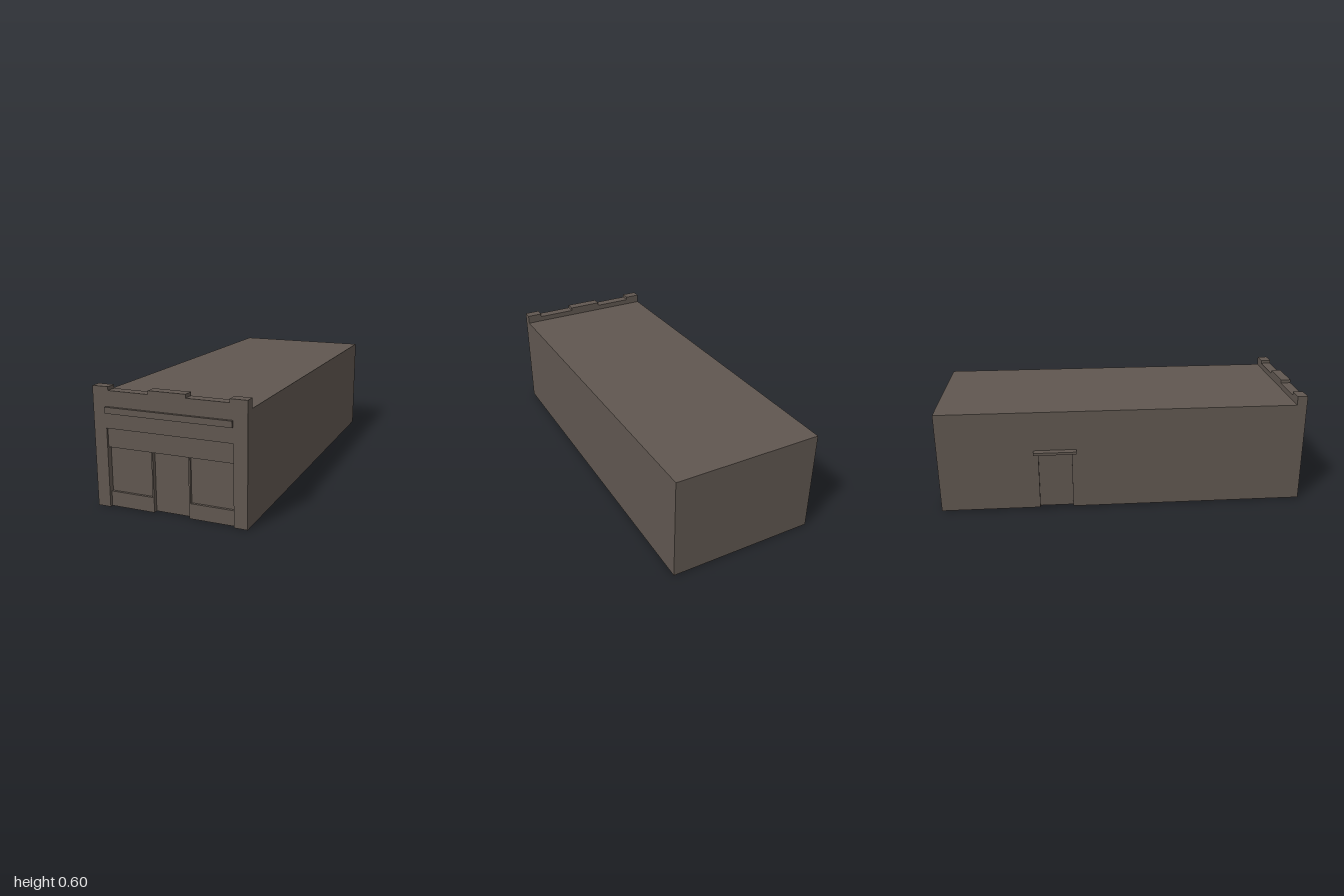
import * as THREE from 'three';

export function createModel() {
  const group = new THREE.Group();
  group.name = 'shopBuilding';
  const plaster = new THREE.MeshStandardMaterial({ color: 0x605750 });
  plaster.name = 'brownPlaster';

  const add = (name, geometry) => {
    const mesh = new THREE.Mesh(geometry, plaster);
    mesh.name = name;
    group.add(mesh);
    return mesh;
  };
  // Box given by its limits on each axis
  const box = (name, [x0, x1], [y0, y1], [z0, z1]) =>
    add(name, new THREE.BoxGeometry(x1 - x0, y1 - y0, z1 - z0))
      .position.set((x0 + x1) / 2, (y0 + y1) / 2, (z0 + z1) / 2);
  const slab = (name, points, depth) => add(name, new THREE.ExtrudeGeometry(
    new THREE.Shape(points.map(([x, y]) => new THREE.Vector2(x, y))),
    { depth, bevelEnabled: false }));

  const left = 0.414, right = -0.378, roof = 0.555, facadeBack = 0.93;

  // Main hall
  box('hall', [right + 0.02, left], [0, roof], [-1, facadeBack]);

  // Outer layer of the side wall, notched for the side door
  const sideWall = slab('sideWall', [
    [-1, 0], [-0.465, 0], [-0.465, 0.325], [-0.285, 0.325], [-0.285, 0],
    [facadeBack, 0], [facadeBack, roof], [-1, roof],
  ], 0.02);
  sideWall.rotation.y = -Math.PI / 2;
  sideWall.position.x = right + 0.02;

  // Canopy over the side door
  box('sideCanopy', [-0.415, right], [0.325, 0.339], [-0.49, -0.26]);

  // Facade with stepped parapet and shopfront opening
  slab('facade', [
    [right, 0], [-0.31, 0], [-0.31, 0.4], [0.346, 0.4], [0.346, 0], [left, 0],
    [left, 0.603], [0.329, 0.603], [0.329, 0.585], [0.114, 0.585],
    [0.114, 0.603], [-0.079, 0.603], [-0.079, 0.585], [-0.293, 0.585],
    [-0.293, 0.603], [right, 0.603],
  ], 0.055).position.z = facadeBack;

  // Sign board and fascia
  box('signBoard', [-0.309, 0.345], [0.476, 0.507], [0.98, 1]);
  box('fascia', [-0.31, 0.346], [0.304, 0.4], [facadeBack, 0.975]);

  // Shop windows with low walls and posts beside the door
  for (const [x0, x1, post] of [[-0.31, -0.082, -0.075], [0.12, 0.346, 0.112]]) {
    box('shopWindow', [x0, x1], [0.076, 0.304], [facadeBack, 0.955]);
    box('lowWall', [x0, x1], [0, 0.076], [facadeBack, 0.968]);
    box('doorPost', [Math.min(post, x1), Math.max(post, Math.min(x0, post + 0.008))],
      [0, 0.304], [facadeBack, 0.968]);
  }
  box('frontDoor', [-0.075, 0.112], [0, 0.304], [facadeBack, 0.945]);

  // Floor, seen from below
  const floor = add('floor', new THREE.PlaneGeometry(0.773, 1.87));
  floor.rotation.x = Math.PI / 2;
  floor.position.set(0.0035, -0.001, -0.035);

  return group;
}
